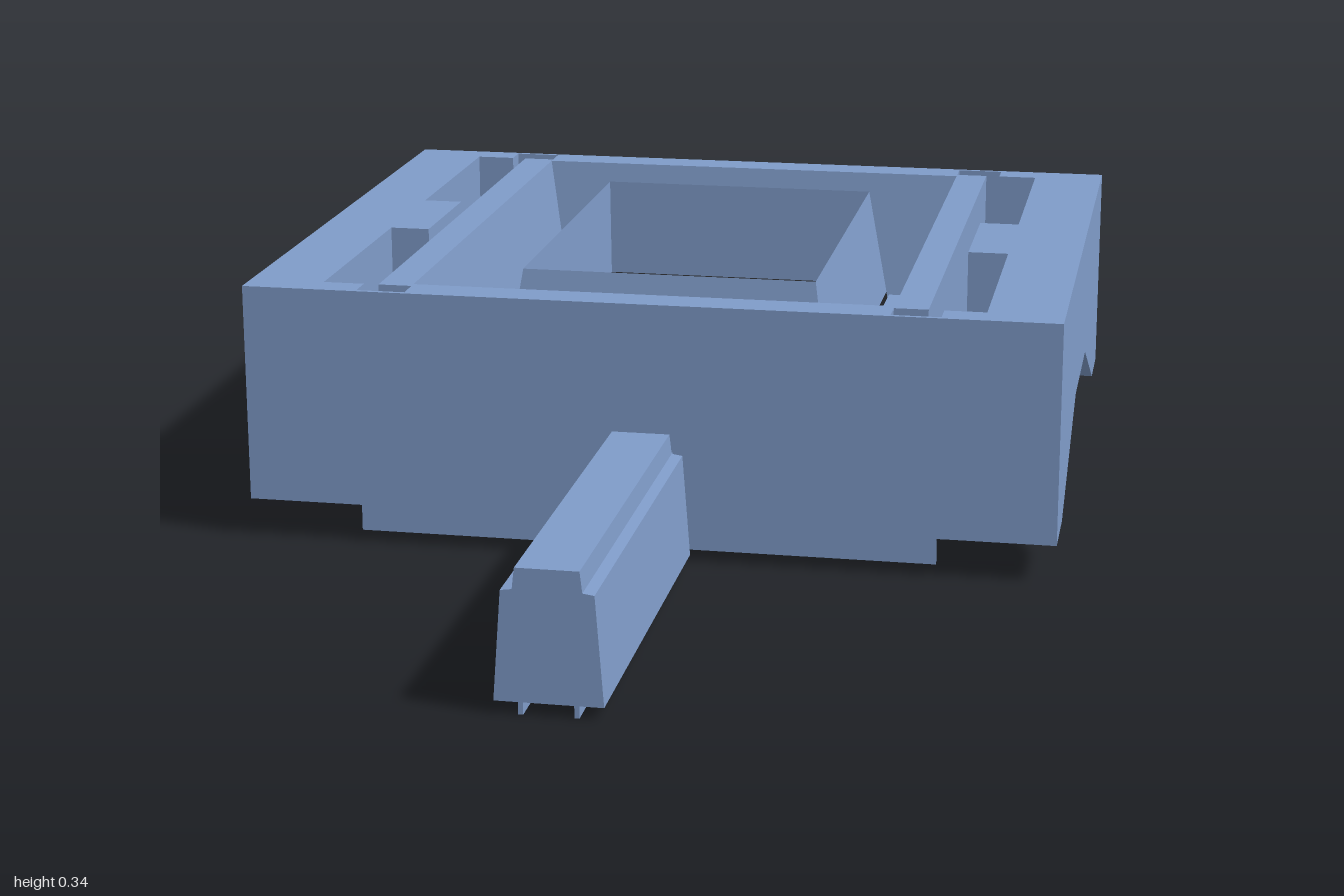
import * as THREE from 'three';

const paint = (color) => new THREE.MeshStandardMaterial({ color, flatShading: true, side: THREE.DoubleSide });
const blue = paint(0x7f9bc8), dark = paint(0x222326), orange = paint(0xd97a26), navy = paint(0x2f4f86);

export function createModel() {
  const root = new THREE.Group();

  const add = (name, geometry, material = blue) => {
    const mesh = new THREE.Mesh(geometry, material);
    mesh.name = name;
    root.add(mesh);
    return mesh;
  };
  // Box given by its limits on each axis
  const box = (name, x0, x1, y0, y1, z0, z1, material) => {
    const g = new THREE.BoxGeometry(Math.abs(x1 - x0), y1 - y0, Math.abs(z1 - z0));
    g.translate((x0 + x1) / 2, (y0 + y1) / 2, (z0 + z1) / 2);
    return add(name, g, material);
  };
  const shapeOf = (pts) => new THREE.Shape(pts.map(([a, b]) => new THREE.Vector2(a, b)));
  const extrude = (shape, depth) => new THREE.ExtrudeGeometry(shape, { depth, bevelEnabled: false, curveSegments: 32 });
  // Profile in (z, y), extruded along x from x0 to x1
  const sideExtrude = (name, pts, x0, x1, material) => {
    const g = extrude(shapeOf(pts.map(([z, y]) => [-z, y])), x1 - x0);
    g.rotateY(Math.PI / 2);
    g.translate(x0, 0, 0);
    return add(name, g, material);
  };
  // Four sloped walls between two rectangles of half sizes (a, b)
  const slopedRing = (name, [a0, b0, y0], [a1, b1, y1], material) => {
    const pos = [], idx = [];
    const signs = [[-1, -1], [-1, 1], [1, 1], [1, -1]];
    for (const [sx, sz] of signs) pos.push(sx * a0, y0, sz * b0, sx * a1, y1, sz * b1);
    for (let i = 0; i < 4; i++) {
      const p = i * 2, q = ((i + 1) % 4) * 2;
      idx.push(p, p + 1, q, q, p + 1, q + 1);
    }
    const g = new THREE.BufferGeometry();
    g.setAttribute('position', new THREE.Float32BufferAttribute(pos, 3));
    g.setIndex(idx);
    const flat = g.toNonIndexed();
    flat.computeVertexNormals();
    return add(name, flat, material);
  };

  const TOP = 0.345, X = 0.54, Z = 0.45;
  const skin = [[-X, TOP], [-X, 0.05], [-0.385, 0.05], [-0.385, 0.015], [0.385, 0.015], [0.385, 0.05], [X, 0.05], [X, TOP]];
  const arch = [[-Z, 0.05], [-0.35, 0.05], [-0.11, 0.155], [0.11, 0.155], [0.35, 0.05], [Z, 0.05], [Z, TOP], [-Z, TOP]];

  // Housing sides: arched outer wall with two open slots behind it
  for (const s of [1, -1]) {
    const span = (a, b) => (s > 0 ? [a, b] : [-b, -a]);
    sideExtrude('sideWall', arch, ...span(0.44, X));
    const [i0, i1] = span(0.385, 0.44);
    box('slotBridge', i0, i1, 0.155, TOP, -0.09, 0.09);
    for (const e of [1, -1]) {
      box('slotEnd', i0, i1, 0.05, TOP, e * 0.41, e * Z);
      box('slotFloor', i0, i1, 0.05, 0.07, e * 0.35, e * 0.41);
    }
    box('innerBar', ...span(0.32, 0.365), 0.05, TOP, -0.41, 0.41);

    // Notched skirt below the deck
    const skirt = [[-0.35, 0.05], [-0.35, 0.015], [-0.23, 0.015], [-0.21, 0.045], [-0.11, 0.045], [-0.09, 0.015],
      [-0.035, 0.015], [0, 0.045], [0.035, 0.015], [0.09, 0.015], [0.11, 0.045], [0.21, 0.045], [0.23, 0.015],
      [0.35, 0.015], [0.35, 0.05]];
    sideExtrude('skirt', skirt, ...span(0.365, 0.385));

    // Side clips beside the tray
    for (const z of [-0.16, 0.155]) {
      box('sideClip', ...span(0.24, 0.285), 0.05, 0.2, z - 0.055, z + 0.055);
      box('clipTongue', ...span(0.23, 0.25), 0.05, 0.17, z - 0.03, z + 0.03);
    }
  }

  // Front and back walls, ends of the base and rails
  for (const e of [1, -1]) {
    const g = extrude(shapeOf(skin), 0.006);
    g.translate(0, 0, e > 0 ? Z - 0.006 : -Z);
    add(e > 0 ? 'frontWall' : 'backWall', g);
    box('endBlock', -0.32, 0.32, 0.05, TOP, e * 0.4, e * Z);
    box('endClip', -0.06, 0.06, 0.05, 0.2, e * 0.335, e * 0.37);
    box('orangeLatch', -0.12, 0.12, 0.016, 0.05, e * 0.35, e * 0.443, orange);

    // Rail: tapered bar with a stepped cap and two thin runners
    const half = [[0.065, 0.015], [0.055, 0.15], [0.041, 0.152], [0.038, 0.178]];
    const section = [...half, ...half.map(([x, y]) => [-x, y]).reverse()];
    const rail = extrude(shapeOf(section), 0.53);
    rail.translate(0, 0, e > 0 ? 0.47 : -1);
    add('rail', rail);
    for (const x of [-0.033, 0.033]) box('railRunner', x - 0.003, x + 0.003, 0, 0.016, e * 0.47, e);
    box('railConnector', -0.03, 0.03, 0.025, 0.16, e * Z, e * 0.472);
    box('connectorCollar', -0.04, 0.04, 0.02, 0.15, e * 0.458, e * 0.464);
  }
  box('backCatch', -0.04, 0.04, 0.12, 0.2, -0.458, -0.45, navy);
  box('railHandle', 0.055, 0.16, 0.015, 0.155, -0.74, -0.7, dark);

  // Deck with four windows
  const deck = shapeOf([[-0.385, -0.444], [0.385, -0.444], [0.385, 0.444], [-0.385, 0.444]]);
  for (const sx of [1, -1]) for (const sz of [1, -1]) {
    const hole = [[0.1, 0.23], [0.21, 0.23], [0.21, 0.3], [0.1, 0.3]];
    deck.holes.push(new THREE.Path(hole.map(([x, z]) => new THREE.Vector2(sx * x, sz * z))));
  }
  const deckGeo = extrude(deck, 0.015);
  deckGeo.rotateX(-Math.PI / 2);
  deckGeo.translate(0, 0.045, 0);
  add('deck', deckGeo, dark);

  // Turntable under the deck
  const disc = new THREE.CylinderGeometry(0.2, 0.2, 0.03, 40);
  disc.translate(0, 0.032, 0);
  add('turntable', disc, dark);
  const outer = new THREE.Shape().absarc(0, 0, 0.24, 0, Math.PI * 2);
  outer.holes.push(new THREE.Path().absarc(0, 0, 0.215, 0, Math.PI * 2, true));
  const ring = extrude(outer, 0.03);
  ring.rotateX(-Math.PI / 2);
  ring.translate(0, 0.018, 0);
  add('turntableRing', ring, dark);

  // Funnel and central tray
  slopedRing('funnel', [0.32, 0.4, TOP], [0.27, 0.35, 0.06]);
  slopedRing('trayOuterWall', [0.2, 0.28, 0.342], [0.225, 0.31, 0.18]);
  slopedRing('trayInnerWall', [0.2, 0.28, 0.342], [0.198, 0.278, 0.2]);
  box('trayFloor', -0.2, 0.2, 0.185, 0.2, -0.28, 0.28, dark);
  slopedRing('trayPedestal', [0.225, 0.31, 0.18], [0.24, 0.325, 0.06], dark);

  return root;
}
